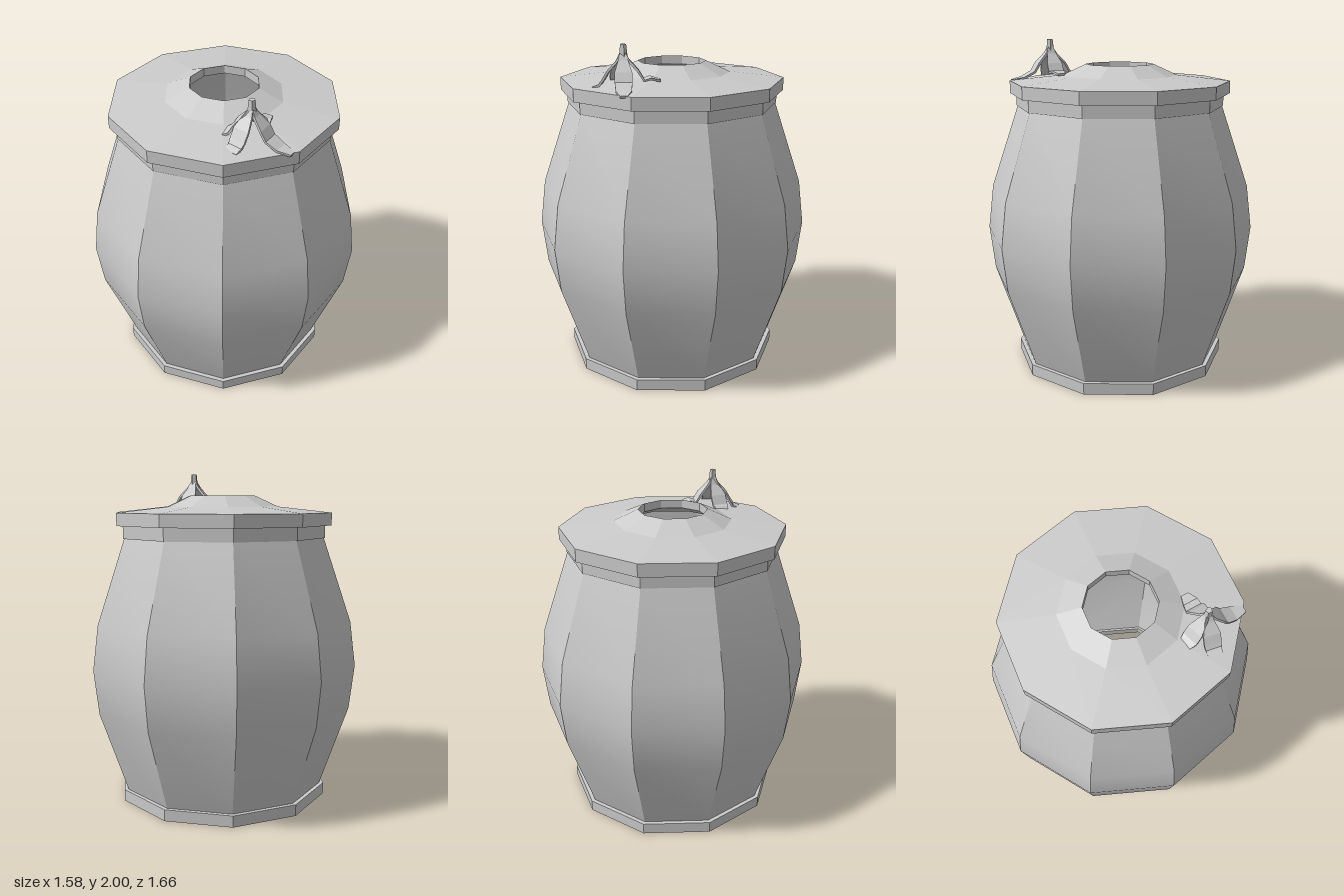
import * as THREE from 'three';
import { toCreasedNormals } from 'three/addons/utils/BufferGeometryUtils.js';

const SIDES = 10;
const smooth = new THREE.MeshStandardMaterial({ color: 0xcccccc, side: THREE.DoubleSide });
const faceted = new THREE.MeshStandardMaterial({ color: 0xcccccc, side: THREE.DoubleSide, flatShading: true });

function mesh(name, geometry, material = faceted) {
  const m = new THREE.Mesh(geometry, material);
  m.name = name;
  return m;
}

// Ten-sided turned shape from [radius, y] pairs
function turned(profile) {
  return new THREE.LatheGeometry(profile.map(([r, y]) => new THREE.Vector2(r, y)), SIDES);
}

// Drooping strip along +x; stations are [distance, y, width], each a thin rectangle
function petalGeometry(stations, thickness) {
  const pos = [], idx = [];
  stations.forEach(([d, y, w], i) => {
    const a = stations[Math.max(i - 1, 0)], b = stations[Math.min(i + 1, stations.length - 1)];
    const len = Math.hypot(b[0] - a[0], b[1] - a[1]);
    const nx = (a[1] - b[1]) / len * thickness, ny = (b[0] - a[0]) / len * thickness;
    const h = w / 2;
    pos.push(d, y, -h, d, y, h, d - nx, y - ny, h, d - nx, y - ny, -h);
    if (i === 0) return;
    const p = (i - 1) * 4, q = i * 4;
    for (let k = 0; k < 4; k++) {
      const n = (k + 1) % 4;
      idx.push(p + k, p + n, q + n, p + k, q + n, q + k);
    }
  });
  const e = (stations.length - 1) * 4;
  idx.push(0, 2, 1, 0, 3, 2, e, e + 1, e + 2, e, e + 2, e + 3);
  const g = new THREE.BufferGeometry();
  g.setAttribute('position', new THREE.Float32BufferAttribute(pos, 3));
  g.setIndex(idx);
  g.computeVertexNormals();
  return g;
}

export function createModel() {
  const root = new THREE.Group();
  root.name = 'barrel';

  // Bulging staves, smooth up the height and sharp between staves
  const staves = turned([[0.62, 0.04], [0.8, 0.57], [0.83, 0.84], [0.795, 1.11], [0.62, 1.62]]);
  root.add(mesh('staves', toCreasedNormals(staves, 0.5), smooth));

  // Foot ring, open in the middle
  root.add(mesh('footRing', turned([
    [0.615, 0], [0.655, 0], [0.655, 0.07], [0.615, 0.07], [0.615, 0],
  ])));

  // Collar below the lid
  root.add(mesh('collar', turned([
    [0.6, 1.61], [0.63, 1.61], [0.63, 1.69], [0.6, 1.69], [0.6, 1.61],
  ])));

  // Raised lid with a central hole
  root.add(mesh('lid', turned([
    [0.6, 1.685], [0.668, 1.685], [0.668, 1.76], [0.345, 1.795], [0.203, 1.86],
    [0.203, 1.81], [0.34, 1.75], [0.6, 1.685],
  ])));

  // Peel lying on the lid: short stalk with four drooping strips
  const peel = new THREE.Group();
  peel.name = 'peel';
  peel.position.set(0.145, 0, 0.43);
  const stalk = mesh('stalk', new THREE.CylinderGeometry(0.018, 0.026, 0.08, 5));
  stalk.position.y = 1.96;
  peel.add(stalk);

  // Each strip: target of its tip (x, z from the stalk), tip height, tip width
  const strips = [
    [-0.145, -0.04, 1.785, 0.07],
    [0.1, -0.18, 1.805, 0.045],
    [-0.11, 0.13, 1.77, 0.08],
    [0.21, 0.13, 1.762, 0.04],
  ];
  for (const [x, z, tipY, tipW] of strips) {
    const reach = Math.hypot(x, z);
    const strip = mesh('peelStrip', petalGeometry([
      [0.012, 1.955, 0.03],
      [0.035, 1.915, 0.055],
      [0.085, 1.86, 0.095],
      [0.115, 1.81, 0.095],
      [Math.max(reach * 0.72, 0.132), tipY + 0.015, 0.085],
      [reach, tipY, tipW],
    ], 0.013));
    strip.rotation.y = Math.atan2(-z, x);
    peel.add(strip);
  }
  root.add(peel);
  return root;
}
